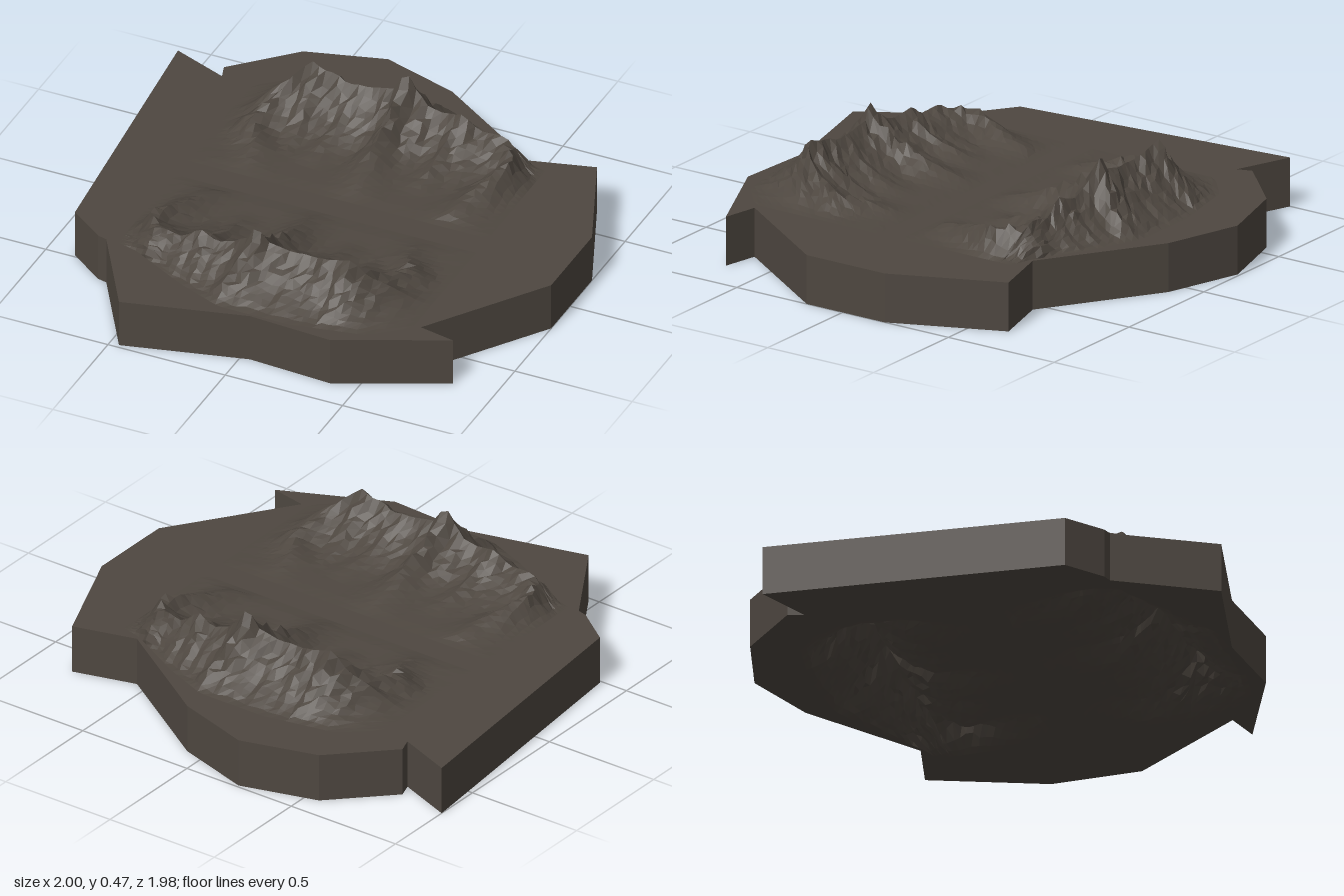
import * as THREE from 'three';

const rock = new THREE.MeshStandardMaterial({ color: 0x4e4740, flatShading: true });
rock.name = 'dark rock';

const THICK = 0.2, FRONT_Z = 0.07, COLS = 44, ROWS = 26, CREST_ROW = 9, X0 = -0.64, X1 = 0.64;

// Jagged outline of the slab as (x, z)
const OUTLINE = [[-1, -0.7], [-0.77, -0.61], [-0.79, -0.67], [-0.56, -0.9], [-0.24, -0.99], [0.08, -0.89],
  [0.55, -0.58], [0.81, -0.65], [1, -0.2], [1, 0.17], [0.67, 0.65], [0.82, 0.68], [0.39, 0.88],
  [0.04, 0.86], [-0.46, 0.985], [-0.69, 0.61], [-0.73, 0.6], [-0.88, 0.49]];

// Outer foot of the ridge, and its crest as (x, z, height)
const FOOT = [[-0.64, -0.6], [-0.5, -0.72], [-0.2, -0.78], [0.1, -0.78], [0.3, -0.7], [0.55, -0.565], [0.64, -0.54]];
const CREST = [[-0.64, -0.42, 0.01], [-0.55, -0.45, 0.04], [-0.5, -0.48, 0.09], [-0.42, -0.52, 0.15], [-0.35, -0.54, 0.23],
  [-0.3, -0.53, 0.205], [-0.25, -0.54, 0.2], [-0.19, -0.52, 0.18], [-0.08, -0.53, 0.185], [0, -0.53, 0.2],
  [0.045, -0.545, 0.29], [0.08, -0.55, 0.22], [0.15, -0.53, 0.16], [0.22, -0.54, 0.145], [0.3, -0.52, 0.17],
  [0.37, -0.53, 0.11], [0.45, -0.52, 0.125], [0.5, -0.52, 0.11], [0.55, -0.5, 0.06], [0.64, -0.46, 0.01]];

// Spurs running down from the crest: half width, then (x, z, height)
const SPURS = [
  [0.13, [0.045, -0.545, 0.29], [0.03, -0.45, 0.17], [0.03, -0.3, 0.095], [0.03, -0.2, 0.05], [0.03, -0.07, 0.01]],
  [0.12, [0.48, -0.52, 0.11], [0.56, -0.4, 0.115], [0.5, -0.25, 0.07], [0.43, -0.05, 0.01]],
  [0.12, [-0.4, -0.52, 0.17], [-0.46, -0.4, 0.11], [-0.5, -0.31, 0.08], [-0.43, -0.2, 0.04], [-0.42, -0.08, 0.01]],
  [0.1, [0.25, -0.53, 0.15], [0.27, -0.38, 0.07], [0.25, -0.25, 0.02]],
  [0.1, [-0.2, -0.52, 0.18], [-0.18, -0.4, 0.08], [-0.2, -0.26, 0.02]],
  [0.09, [0.045, -0.55, 0.28], [0.1, -0.63, 0.13], [0.12, -0.73, 0.04]],
  [0.08, [-0.35, -0.54, 0.22], [-0.36, -0.63, 0.1], [-0.4, -0.7, 0.02]],
];

function lookup(points, x, k) {
  for (let i = 1; i < points.length; i++) {
    const a = points[i - 1], b = points[i];
    if (x <= b[0] || i === points.length - 1) {
      const t = Math.min(1, Math.max(0, (x - a[0]) / (b[0] - a[0])));
      return a[k] + (b[k] - a[k]) * t;
    }
  }
}

// Repeatable value from -1 to 1
function noise(i, j) {
  const s = Math.sin(i * 127.1 + j * 311.7) * 43758.5453;
  return (s - Math.floor(s)) * 2 - 1;
}

// Height of one spur at a point
function spurHeight([width, ...path], x, z) {
  let best = 0;
  for (let i = 1; i < path.length; i++) {
    const [ax, az, ah] = path[i - 1], [bx, bz, bh] = path[i];
    const dx = bx - ax, dz = bz - az;
    const t = Math.min(1, Math.max(0, ((x - ax) * dx + (z - az) * dz) / (dx * dx + dz * dz)));
    const d = Math.hypot(x - ax - dx * t, z - az - dz * t);
    best = Math.max(best, (ah + (bh - ah) * t) * Math.pow(Math.max(0, 1 - d / width), 1.4));
  }
  return best;
}

// Point of the ridge grid; a row of the grid follows the crest
function gridPoint(i, j) {
  const edge = i === 0 || j === 0 || i === COLS || j === ROWS;
  let x = X0 + (X1 - X0) * i / COLS;
  const foot = lookup(FOOT, x, 1), crest = lookup(CREST, x, 1), inner = -0.02;
  let z = j <= CREST_ROW
    ? foot + (crest - foot) * j / CREST_ROW
    : crest + (inner - crest) * (j - CREST_ROW) / (ROWS - CREST_ROW);
  if (edge) return [x, z, 0];
  if (j !== CREST_ROW) {
    x += noise(i, j) * 0.008;
    z += noise(i + 50, j) * 0.006;
  }
  const d = z - crest;
  const reach = (d < 0 ? crest - foot : 0.32) * (1 + 0.12 * noise(i, 99));
  let h = lookup(CREST, x, 2) * Math.pow(Math.max(0, 1 - Math.abs(d) / reach), d < 0 ? 1.6 : 2.1);
  for (const spur of SPURS) h = Math.max(h, spurHeight(spur, x, z));
  h *= 1 + 0.1 * noise(i, j + 70) * (j === CREST_ROW ? 0.2 : 1);
  const fade = Math.min(1, i / 3, (COLS - i) / 3, j / 2, (ROWS - j) / 2);
  return [x, z, h * fade + 0.004 * fade];
}

// Ridge surface; the underside is the same relief seen from below
function ridgeGeometry(heightScale, base, underside) {
  const geo = new THREE.PlaneGeometry(1, 1, COLS, ROWS);
  const pos = geo.attributes.position;
  for (let j = 0; j <= ROWS; j++) {
    for (let i = 0; i <= COLS; i++) {
      const [x, z, h] = gridPoint(i, j);
      pos.setXYZ(j * (COLS + 1) + i, x, base + h * heightScale, z);
    }
  }
  if (underside) geo.setIndex(Array.from(geo.index.array).reverse());
  geo.computeVertexNormals();
  return geo;
}

// Border of the ridge grid, used to cut its opening in the slab
function ridgeBorder(turned) {
  const pts = [];
  for (let i = 0; i < COLS; i++) pts.push(gridPoint(i, 0));
  for (let j = 0; j < ROWS; j++) pts.push(gridPoint(COLS, j));
  for (let i = COLS; i > 0; i--) pts.push(gridPoint(i, ROWS));
  for (let j = ROWS; j > 0; j--) pts.push(gridPoint(0, j));
  return pts.map(([x, z]) => (turned ? new THREE.Vector2(-x, FRONT_Z - z) : new THREE.Vector2(x, z)));
}

export function createModel() {
  const model = new THREE.Group();
  model.name = 'mountainTerrain';

  // Flat slab around the ridges
  const shape = new THREE.Shape(OUTLINE.map(([x, z]) => new THREE.Vector2(x, z)));
  shape.holes.push(new THREE.Path(ridgeBorder(false)), new THREE.Path(ridgeBorder(true)));
  const slabGeo = new THREE.ExtrudeGeometry(shape, { depth: THICK, bevelEnabled: false });
  slabGeo.rotateX(Math.PI / 2).translate(0, THICK, 0);
  const slab = new THREE.Mesh(slabGeo, rock);
  slab.name = 'slab';
  model.add(slab);

  // Back ridge, and a lower one turned half round at the front
  for (const [name, scale, turned] of [['backRidge', 1, false], ['frontRidge', 0.84, true]]) {
    const ridge = new THREE.Group();
    ridge.name = name;
    for (const underside of [false, true]) {
      const mesh = new THREE.Mesh(ridgeGeometry(scale, underside ? 0 : THICK, underside), rock);
      mesh.name = underside ? 'ridgeUnderside' : 'ridgeTop';
      ridge.add(mesh);
    }
    if (turned) {
      ridge.rotation.y = Math.PI;
      ridge.position.z = FRONT_Z;
    }
    model.add(ridge);
  }
  return model;
}
